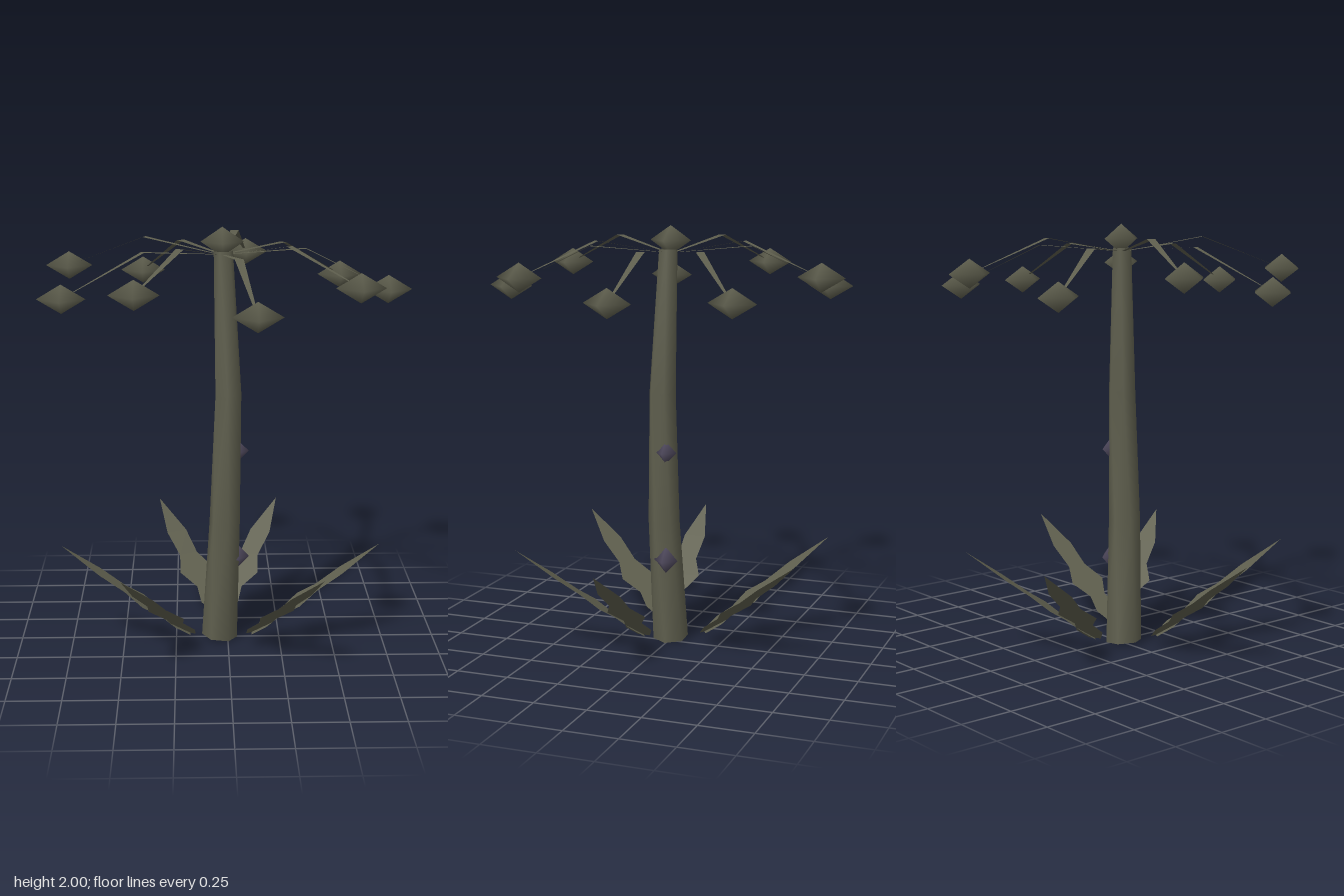
import * as THREE from 'three';

const green = new THREE.MeshStandardMaterial({ color: 0x5f5f4e, side: THREE.DoubleSide });
green.name = 'dull olive green';
const purple = new THREE.MeshStandardMaterial({ color: 0x504a5e });
purple.name = 'muted purple';

function add(parent, name, geometry, material, x = 0, y = 0, z = 0) {
  const mesh = new THREE.Mesh(geometry, material);
  mesh.name = name;
  mesh.position.set(x, y, z);
  parent.add(mesh);
  return mesh;
}

function indexed(positions, indices) {
  const g = new THREE.BufferGeometry();
  g.setAttribute('position', new THREE.Float32BufferAttribute(positions, 3));
  g.setIndex(indices);
  g.computeVertexNormals();
  return g;
}

// Flat ribbon running along +x, each station is [x, y, half width in z]
function ribbon(stations) {
  const pos = [], idx = [];
  stations.forEach(([x, y, w], i) => {
    pos.push(x, y, w, x, y, -w);
    if (i === 0) return;
    const a = 2 * i - 2;
    idx.push(a, a + 2, a + 1, a + 1, a + 2, a + 3);
  });
  return indexed(pos, idx);
}

// Smooth four-sided bud
const bud = (r, h) => new THREE.SphereGeometry(1, 4, 2).scale(r, h, r);

// Six-sided twisted trunk, each ring is [y, centre x, centre z, radius]
function trunkGeometry() {
  const rings = [[0.01, -0.04, 0.005, 0.085], [0.6, -0.015, 0.03, 0.075],
    [1.22, 0.003, 0.03, 0.068], [1.89, -0.02, 0.01, 0.045]];
  const sides = 6, pos = [], idx = [];
  rings.forEach(([y, cx, cz, r], i) => {
    for (let k = 0; k < sides; k++) {
      const a = (k / sides) * Math.PI * 2 + i * 0.3;
      const x = Math.cos(a) * r;
      pos.push(cx + x, i ? y : y - x * 0.1, cz + Math.sin(a) * r);
      if (i === 0) continue;
      const k2 = (k + 1) % sides, lo = (i - 1) * sides, hi = i * sides;
      idx.push(lo + k, hi + k, lo + k2, lo + k2, hi + k, hi + k2);
    }
  });
  // bottom cap with its own vertices, so the rim stays sharp
  const base = pos.length / 3;
  pos.push(...pos.slice(0, sides * 3));
  for (let k = 1; k < sides - 1; k++) idx.push(base, base + k, base + k + 1);
  return indexed(pos, idx);
}

export function createModel() {
  const model = new THREE.Group();
  model.name = 'plant';

  add(model, 'trunk', trunkGeometry(), green);
  add(model, 'crownBud', bud(0.1, 0.068), green, -0.025, 1.932, 0);

  // Purple buds on the trunk's side
  add(model, 'upperSideBud', bud(0.055, 0.055), purple, 0.045, 0.94, 0);
  add(model, 'lowerSideBud', bud(0.06, 0.065), purple, 0.042, 0.415, 0);

  // Crown of nine flat stems, alternately low and high, each with a bud
  for (let i = 0; i < 9; i++) {
    const high = i % 2 === 1;
    const budY = high ? 1.79 : 1.71, bendY = high ? 1.94 : 1.9;
    const arm = new THREE.Group();
    arm.name = 'crownArm';
    arm.position.set(-0.025, 0, 0);
    arm.rotation.y = -i * Math.PI * 2 / 9;
    model.add(arm);
    add(arm, 'stem', ribbon([[0.03, 1.875, 0.008], [0.385, bendY, 0.02], [0.77, budY, 0.003]]), green);
    const b = add(arm, 'flowerBud', bud(0.11, 0.066), green, 0.77, budY, 0);
    b.rotation.y = -arm.rotation.y;
  }

  // Three pairs of jagged leaves around the foot
  const outline = [[0, 0.03], [0.07, 0.065], [0.145, 0.045], [0.225, 0.095],
    [0.31, 0.05], [0.43, 0.055], [0.61, 0]];
  const leafShape = ribbon(outline.map(([u, w]) => [u, 0.055 + u * 0.73, w]));
  for (let p = 0; p < 3; p++) {
    const mid = Math.PI / 6 + p * Math.PI * 2 / 3;
    for (const side of [-1, 1]) {
      const leaf = add(model, 'leaf', leafShape, green,
        -0.035 + Math.cos(mid) * 0.17, 0, Math.sin(mid) * 0.17);
      leaf.rotation.y = -(mid + side * Math.PI / 6);
    }
  }
  return model;
}
